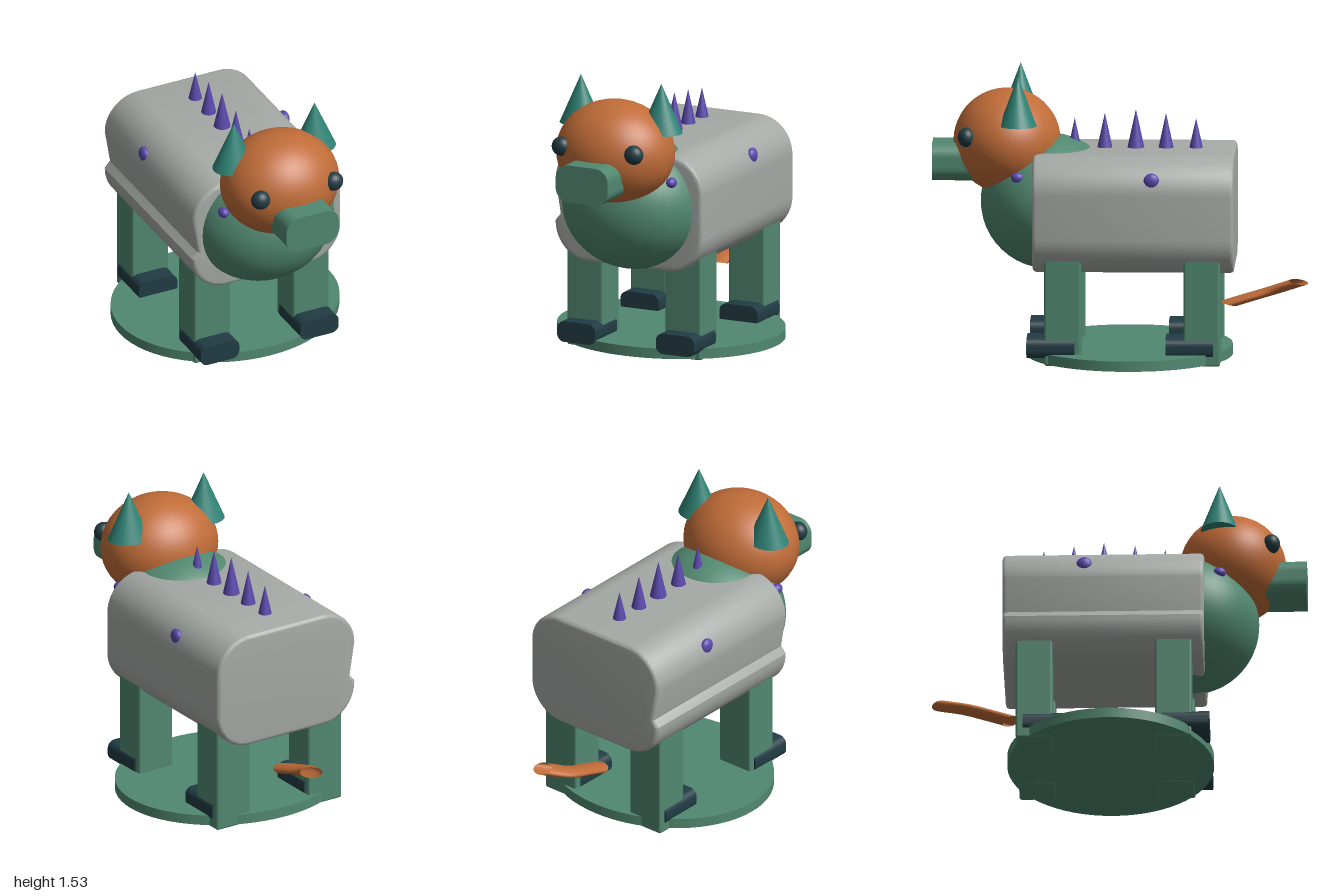
import * as THREE from 'three';
import { toCreasedNormals } from 'three/addons/utils/BufferGeometryUtils.js';
import { RoundedBoxGeometry } from 'three/addons/geometries/RoundedBoxGeometry.js';

function material(name, color, side = THREE.FrontSide) {
  const m = new THREE.MeshStandardMaterial({ color, side });
  m.name = name;
  return m;
}

// Rounded rectangle outline centred on the origin
function roundedRect(w, h, r) {
  const s = new THREE.Shape(), x = w / 2, y = h / 2;
  s.absarc(x - r, y - r, r, 0, Math.PI / 2);
  s.absarc(-x + r, y - r, r, Math.PI / 2, Math.PI);
  s.absarc(-x + r, -y + r, r, Math.PI, Math.PI * 1.5);
  s.absarc(x - r, -y + r, r, Math.PI * 1.5, Math.PI * 2);
  s.closePath();
  return s;
}

// Extrude along z between two planes, bevel included in the length
function extrude(shape, z0, z1, bevel) {
  const g = new THREE.ExtrudeGeometry(shape, {
    depth: z1 - z0 - 2 * bevel, bevelEnabled: bevel > 0, bevelSize: bevel,
    bevelThickness: bevel, bevelSegments: 3, curveSegments: 10,
  });
  g.translate(0, 0, z0 + bevel);
  return toCreasedNormals(g, 0.6);
}

export function createModel() {
  const model = new THREE.Group();
  model.name = 'spikyPig';
  const grey = material('grey hide', 0xa5aaa6);
  const green = material('green', 0x518870);
  const orange = material('orange', 0xc06c38);
  const tailOrange = orange;
  tailOrange.side = THREE.DoubleSide;
  const teal = material('teal', 0x2f8376);
  const dark = material('dark slate', 0x213c44);
  const purple = material('purple', 0x5a48ac);

  function add(name, geometry, mat, x = 0, y = 0, z = 0) {
    const mesh = new THREE.Mesh(geometry, mat);
    mesh.name = name;
    mesh.position.set(x, y, z);
    model.add(mesh);
    return mesh;
  }
  const ball = (rx, ry, rz, n = 24) => new THREE.SphereGeometry(1, n * 2, n).scale(rx, ry, rz);

  // Base plate
  add('basePlate', new THREE.CylinderGeometry(1, 1, 0.055, 64).scale(0.622, 1, 0.55), green, 0, 0.038, -0.045);

  // Body: rounded block with a groove along its right flank
  const b = 0.02, r = 0.18, x = 0.44 - b, top = 1.12 - b, low = 0.487 + b;
  const profile = new THREE.Shape();
  profile.moveTo(x - r, low);
  profile.absarc(x - r, low + r, r, -Math.PI / 2, 0);
  profile.absarc(x - r, top - r, r, 0, Math.PI / 2);
  profile.absarc(-x + r, top - r, r, Math.PI / 2, Math.PI);
  profile.lineTo(-x + 0.032, 0.725);
  profile.lineTo(-x, low + r);
  profile.absarc(-x + r, low + r, r, Math.PI, Math.PI * 1.5);
  profile.closePath();
  add('body', extrude(profile, -0.61, 0.46, b), grey);

  // Chest and head
  add('chest', ball(0.395, 0.36, 0.365), green, 0, 0.83, 0.38);
  add('head', ball(0.325, 0.28, 0.285), orange, 0, 1.153, 0.605);

  // Snout
  add('snout', extrude(roundedRect(0.31, 0.203, 0.075), 0.72, 1.0, 0), green, 0, 1.052, 0);

  // Back spikes: z, tip height, radius
  for (const [z, tip, radius] of [
    [0.245, 1.278, 0.036], [0.085, 1.305, 0.042], [-0.08, 1.325, 0.047],
    [-0.24, 1.305, 0.042], [-0.4, 1.278, 0.038]]) {
    const h = tip - 1.11;
    add('backSpike', new THREE.ConeGeometry(radius, h, 20), purple, 0, 1.11 + h / 2, z);
  }

  // Paired parts
  for (const s of [1, -1]) {
    const side = s > 0 ? 'left' : 'right';
    add(side + 'Ear', new THREE.ConeGeometry(1, 0.265, 28).scale(0.117, 1, 0.1), teal, s * 0.24, 1.403, 0.54);
    add(side + 'Eye', ball(0.053, 0.052, 0.046, 14), dark, s * 0.216, 1.203, 0.815);
    add(side + 'FlankSpot', ball(0.026, 0.042, 0.042, 12), purple, s * 0.415, 1.003, -0.175);
    add(side + 'ChestSpot', ball(0.028, 0.028, 0.035, 12), purple, s * 0.3, 1.0, 0.54);

    // Legs and feet
    for (const [end, legZ, footZ] of [['Front', 0.298, 0.362], ['Back', -0.442, -0.376]]) {
      add(side + end + 'Leg', new RoundedBoxGeometry(0.214, 0.6, 0.195, 2, 0.012), green, s * 0.293, 0.303, legZ);
      add(side + end + 'Foot', extrude(roundedRect(0.228, 0.112, 0.042), -0.127, 0.127, 0), dark, s * 0.295, 0.097, footZ);
    }
  }

  // Tail: flattened bent tube, path heights divided by the flattening
  const flat = 0.29;
  const path = new THREE.CatmullRomCurve3([
    [0, 0.282, -0.575], [0, 0.312, -0.67], [0.005, 0.355, -0.81], [0.072, 0.41, -0.948],
  ].map(([px, py, pz]) => new THREE.Vector3(px, py / flat, pz)));
  add('tail', new THREE.TubeGeometry(path, 32, 0.06, 20), tailOrange).scale.y = flat;

  return model;
}
